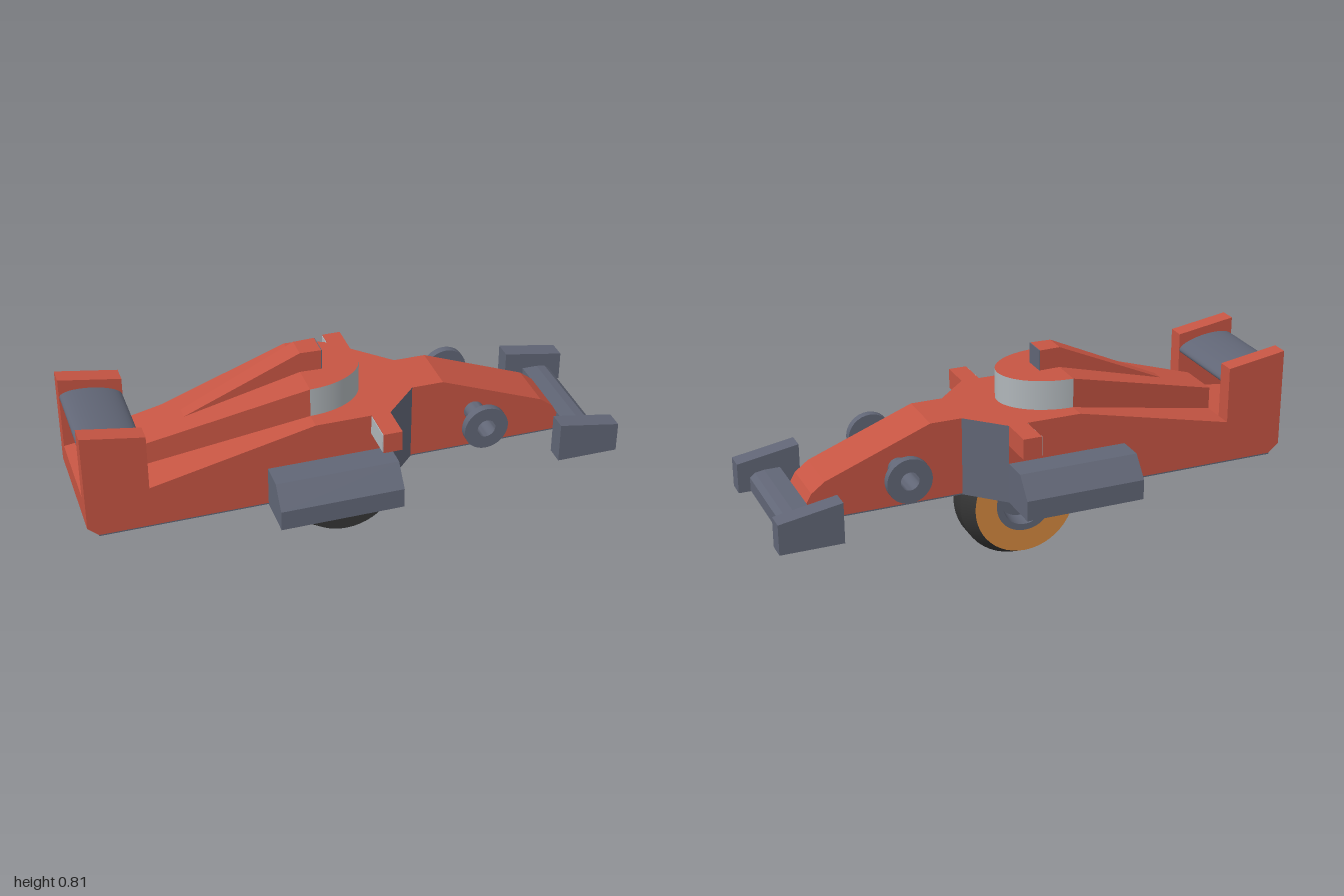
import * as THREE from 'three';
import { toCreasedNormals } from 'three/addons/utils/BufferGeometryUtils.js';

const mat = (name, color) => new THREE.MeshStandardMaterial({ name, color });

export function createModel() {
  const red = mat('red bodywork', 0xc65543);
  const grey = mat('slate grey trim', 0x616676);
  const tyre = mat('black rubber', 0x353535);
  const silver = mat('silver glass', 0xb0b6ba);
  const orange = mat('orange sidewall', 0xd4883f);

  const car = new THREE.Group();
  car.name = 'racingCar';
  const add = (name, geometry, material) => {
    const mesh = new THREE.Mesh(geometry, material);
    mesh.name = name;
    car.add(mesh);
    return mesh;
  };
  const shapeOf = (pts) => new THREE.Shape(pts.map(([a, b]) => new THREE.Vector2(a, b)));
  // side profile (x, y) extruded from z0 to z1
  const sideProfile = (shape, z0, z1) =>
    new THREE.ExtrudeGeometry(shape, { depth: z1 - z0, bevelEnabled: false, curveSegments: 24 }).translate(0, 0, z0);
  // plan outline (x, z) extruded from y0 to y1
  const plan = (pts, y0, y1) =>
    new THREE.ExtrudeGeometry(shapeOf(pts), { depth: y1 - y0, bevelEnabled: false }).rotateX(-Math.PI / 2).translate(0, y0, 0);
  const box = (x0, x1, y0, y1, z0, z1) =>
    new THREE.BoxGeometry(x1 - x0, y1 - y0, z1 - z0).translate((x0 + x1) / 2, (y0 + y1) / 2, (z0 + z1) / 2);
  // lathe turned about the z axis
  const turned = (pts, segments = 48) =>
    toCreasedNormals(
      new THREE.LatheGeometry(pts.map(([r, z]) => new THREE.Vector2(r, z)), segments).rotateX(Math.PI / 2), 0.4);

  // Main hull, rear tray and floor
  add('hull', sideProfile(shapeOf([[-0.77, 0.32], [0.12, 0.32], [0.12, 0.618], [-0.16, 0.618], [-0.77, 0.48]]), -0.23, 0.23), red);
  add('rearTray', sideProfile(shapeOf([[-1, 0.355], [-0.96, 0.32], [-0.77, 0.32], [-0.77, 0.48], [-1, 0.45]]), -0.165, 0.165), red);
  add('shoulders', plan([[0.12, -0.23], [0.25, -0.1], [0.25, 0.1], [0.12, 0.23]], 0.32, 0.618), [red, grey]);
  add('floor', plan([[-0.96, -0.23], [0.12, -0.23], [0.25, -0.1], [0.84, -0.1],
    [0.84, 0.1], [0.25, 0.1], [0.12, 0.23], [-0.96, 0.23]], 0.315, 0.32), grey);

  // Nose, drilled through for the hollow axle
  const nose = shapeOf([[0.25, 0.32], [0.84, 0.32], [0.84, 0.39], [0.82, 0.425], [0.77, 0.463], [0.37, 0.618], [0.25, 0.618]]);
  const bore = new THREE.Path();
  bore.absarc(0.497, 0.47, 0.037, 0, Math.PI * 2, true);
  nose.holes.push(bore);
  add('nose', sideProfile(nose, -0.1, 0.1), red);
  const axle = turned([[0.035, -0.23], [0.085, -0.23], [0.085, -0.2], [0.038, -0.2], [0.038, 0.2],
    [0.085, 0.2], [0.085, 0.23], [0.035, 0.23], [0.035, -0.23]], 32);
  add('frontAxle', axle.translate(0.497, 0.47, 0), grey);

  // Engine cover, tapering and sloping down to the rear
  const cover = plan([[-0.77, -0.085], [-0.16, -0.165], [-0.16, 0.165], [-0.77, 0.085]], 0, 1);
  const p = cover.attributes.position;
  for (let i = 0; i < p.count; i++) {
    const t = (p.getX(i) + 0.77) / 0.61;
    p.setY(i, p.getY(i) > 0.5 ? 0.565 + 0.165 * t : 0.47 + 0.138 * t);
  }
  cover.computeVertexNormals();
  add('engineCover', cover, red);

  // Rounded windshield with a red roof
  const screen = new THREE.CylinderGeometry(1, 1, 0.112, 48, 1, false, 0, Math.PI)
    .scale(0.23, 1, 0.165).translate(-0.16, 0.674, 0);
  add('windshield', screen, [silver, red, red]);

  // Air intake fin, narrower towards the tail
  const fin = sideProfile(shapeOf([[-0.62, 0.6], [-0.16, 0.72], [-0.08, 0.72], [-0.08, 0.808], [-0.16, 0.808]]), -1, 1);
  const f = fin.attributes.position;
  for (let i = 0; i < f.count; i++) {
    f.setZ(i, f.getZ(i) * (0.023 + 0.022 * (f.getX(i) + 0.62) / 0.54));
  }
  fin.computeVertexNormals();
  add('airIntake', fin, red);
  add('intakeOpening', box(-0.081, -0.078, 0.728, 0.808, -0.045, 0.045), grey);

  // Rear wing: curved blade between the end plates
  const blade = new THREE.CylinderGeometry(1, 1, 0.33, 32).rotateX(Math.PI / 2)
    .scale(0.115, 0.035, 1).rotateZ(-0.15).translate(-0.885, 0.645, 0);
  add('rearWing', blade, grey);

  // Front wing with a softly rounded top
  add('frontWing', sideProfile(shapeOf([[0.84, 0.318], [0.955, 0.318], [0.955, 0.37], [0.935, 0.386],
    [0.9, 0.392], [0.84, 0.392]]), -0.23, 0.23), grey);

  // Mirrored side parts
  for (const s of [1, -1]) {
    const side = s > 0 ? 'left' : 'right';
    const span = (a, b) => (s > 0 ? [a, b] : [-b, -a]);
    add(side + 'RearEndPlate', sideProfile(shapeOf([[-1, 0.355], [-0.96, 0.32], [-0.77, 0.32], [-0.77, 0.695], [-1, 0.732]]),
      ...span(0.165, 0.23)), red);
    add(side + 'FrontEndPlate', sideProfile(shapeOf([[0.765, 0.315], [1, 0.315], [1, 0.43], [0.765, 0.47]]),
      ...span(0.23, 0.3)), grey);
    // side pod: cross-section in (z, y) run along x
    const pod = new THREE.ExtrudeGeometry(
      shapeOf([[0.22, 0.315], [0.395, 0.315], [0.395, 0.392], [0.33, 0.47], [0.22, 0.47]].map(([z, y]) => [-s * z, y])),
      { depth: 0.46, bevelEnabled: false }).rotateY(Math.PI / 2).translate(-0.34, 0, 0);
    add(side + 'SidePod', pod, grey);
    add(side + 'Mirror', box(0.05, 0.12, 0.54, 0.618, ...span(0.22, 0.36)), red);
    add(side + 'MirrorGlass', box(0.047, 0.05, 0.543, 0.615, ...span(0.232, 0.357)), silver);
  }

  // Central wheel: tyre, coloured sidewall and recessed hub on the back side
  const wheel = [
    ['tyre', [[0.2, -0.1], [0.235, -0.035], [0.235, 0.035], [0.2, 0.1], [0, 0.1]], tyre],
    ['tyreSidewall', [[0.115, -0.1], [0.2, -0.1]], orange],
    ['wheelHub', [[0, -0.04], [0.08, -0.04], [0.09, -0.1], [0.115, -0.1]], grey],
  ];
  for (const [name, pts, material] of wheel) add(name, turned(pts).translate(0, 0.235, 0), material);

  return car;
}
